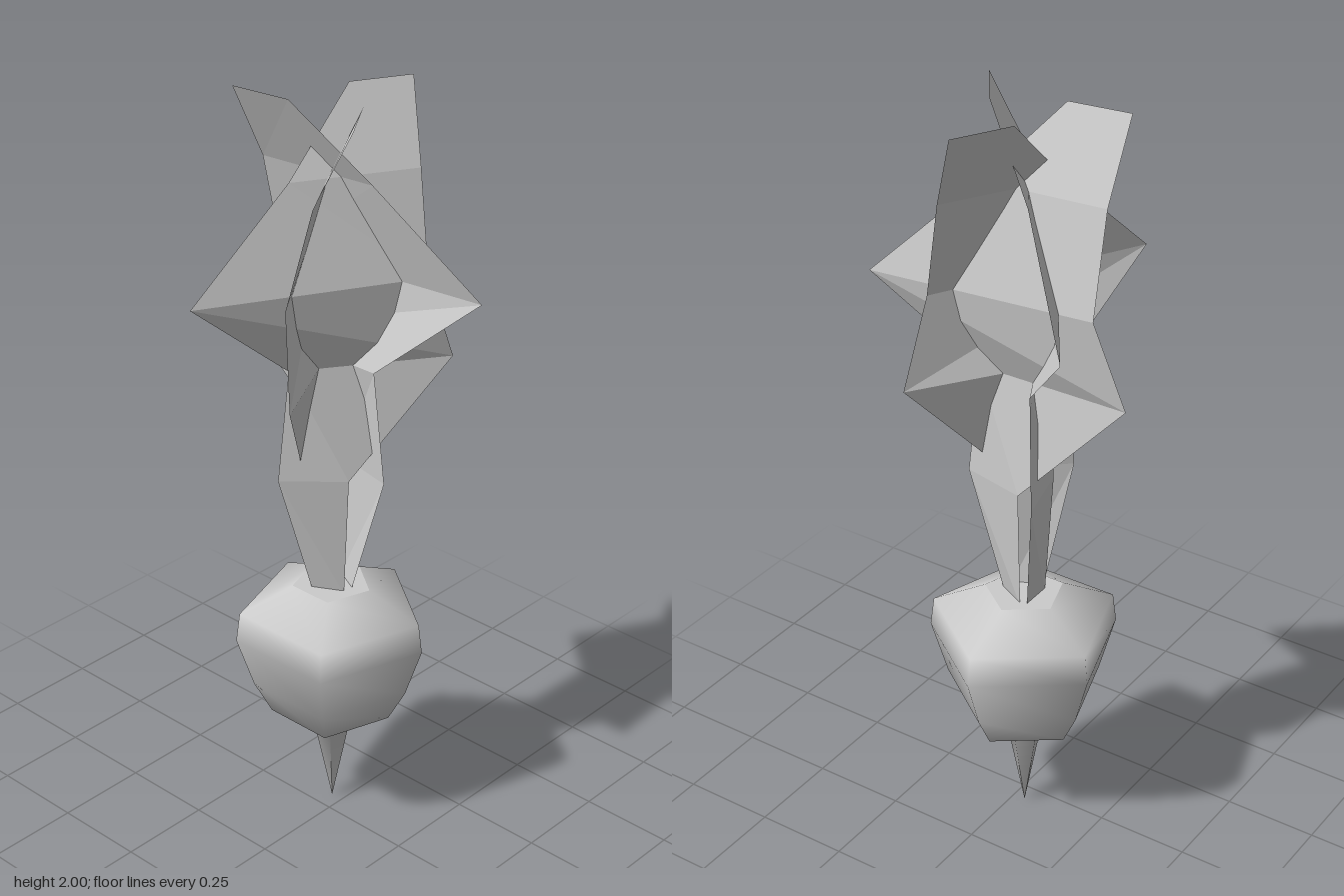
import * as THREE from 'three';

const CX = -0.034, CZ = -0.048; // vertical axis of the root

// Leaf cross-sections: height, then x, z of the inner edge and x, z of the outer edge
const LEAF_ROWS = [
  [0.67, -0.02, -0.05, 0.055, -0.012],
  [1.01, -0.027, -0.07, 0.146, -0.032],
  [1.31, -0.301, -0.022, 0.115, -0.025],
  [1.54, -0.226, -0.053, 0.368, -0.121],
  [1.8, -0.219, 0.012, 0.11, -0.02],
  [2.0, -0.221, 0.109, -0.059, 0.089],
];

function leafGeometry() {
  const positions = [], index = [];
  LEAF_ROWS.forEach(([y, ax, az, bx, bz], i) => {
    positions.push(ax, y, az, bx, y, bz);
    if (i === 0) return;
    const k = 2 * (i - 1);
    index.push(k, k + 1, k + 3, k, k + 3, k + 2);
  });
  const indexed = new THREE.BufferGeometry();
  indexed.setAttribute('position', new THREE.Float32BufferAttribute(positions, 3));
  indexed.setIndex(index);
  const geometry = indexed.toNonIndexed();
  geometry.computeVertexNormals();
  return geometry;
}

export function createModel() {
  const model = new THREE.Group();
  model.name = 'rootVegetable';
  const plant = new THREE.Group();
  plant.position.set(CX, 0, CZ);
  model.add(plant);

  // Five-sided bulb tapering to a thin root tip
  const profile = [
    [0, 0], [0.048, 0.24], [0.163, 0.3], [0.21, 0.39],
    [0.255, 0.53], [0.245, 0.61], [0.105, 0.68],
  ].map(([r, y]) => new THREE.Vector2(r, y));
  const bulb = new THREE.Mesh(
    new THREE.LatheGeometry(profile, 5, Math.PI),
    new THREE.MeshStandardMaterial({ color: 0xcccccc })
  );
  bulb.name = 'bulb';
  plant.add(bulb);

  // Flat crown closing the bulb
  const crown = new THREE.Mesh(
    new THREE.CircleGeometry(0.105, 5, Math.PI / 2),
    new THREE.MeshStandardMaterial({ color: 0xcccccc })
  );
  crown.name = 'crown';
  crown.rotation.x = -Math.PI / 2;
  crown.position.y = 0.68;
  plant.add(crown);

  // Three identical folded leaves turned around the axis
  const leafMaterial = new THREE.MeshStandardMaterial({
    color: 0xcccccc, flatShading: true, side: THREE.DoubleSide,
  });
  const geometry = leafGeometry();
  [0, -125, 117.5].forEach((degrees, i) => {
    const leaf = new THREE.Mesh(geometry, leafMaterial);
    leaf.name = `leaf${i + 1}`;
    leaf.rotation.y = THREE.MathUtils.degToRad(degrees);
    plant.add(leaf);
  });

  return model;
}
